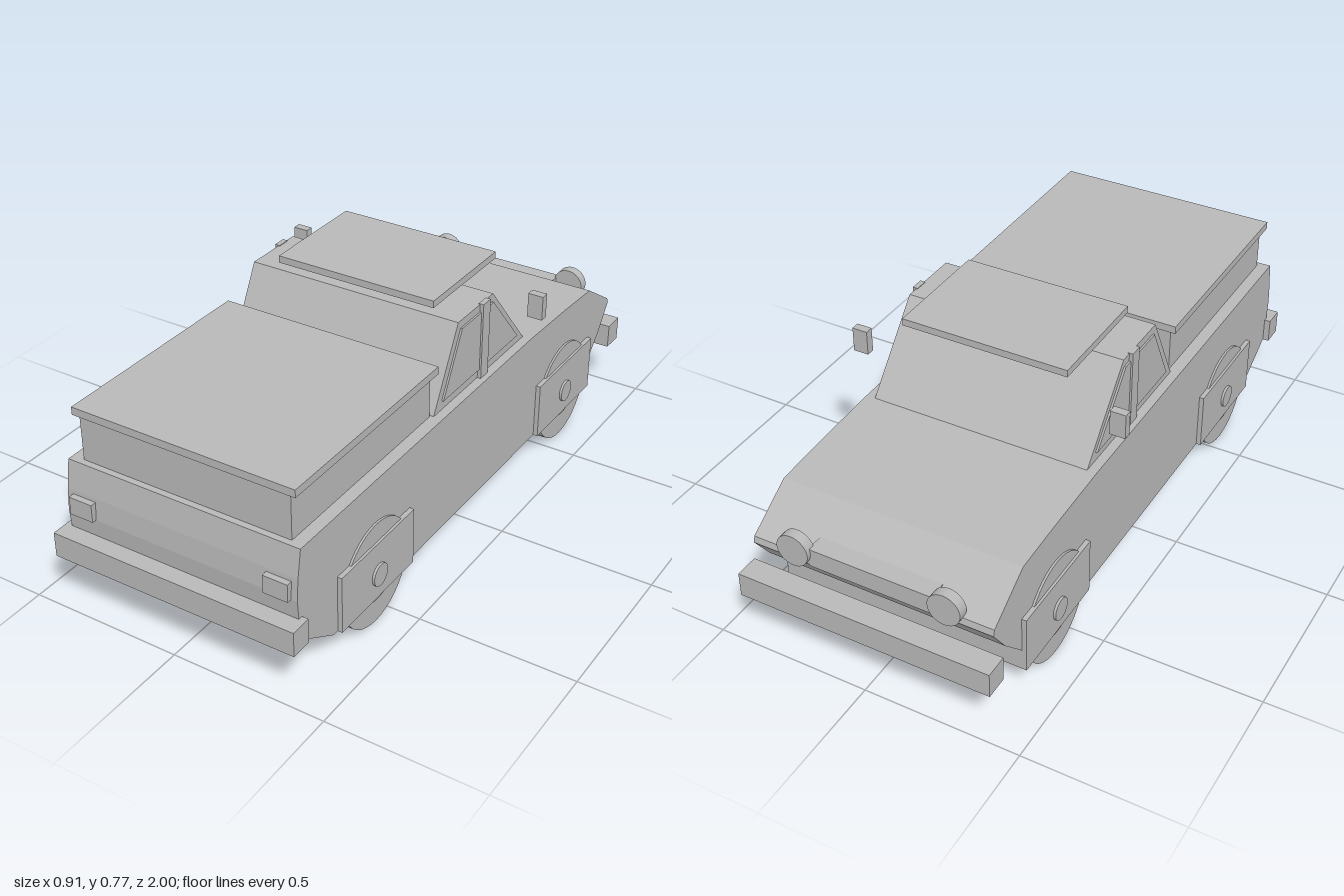
import * as THREE from 'three';

const paint = new THREE.MeshStandardMaterial({ color: 0xb8b8b8 });
paint.name = 'plain grey';

export function createModel() {
  const model = new THREE.Group();
  model.name = 'pickupTruck';

  const add = (name, geometry, x = 0, y = 0, z = 0) => {
    const mesh = new THREE.Mesh(geometry, paint);
    mesh.name = name;
    mesh.position.set(x, y, z);
    model.add(mesh);
    return mesh;
  };

  // Box given by its limits on each axis
  const box = (name, x0, x1, y0, y1, z0, z1) =>
    add(name, new THREE.BoxGeometry(x1 - x0, y1 - y0, z1 - z0),
      (x0 + x1) / 2, (y0 + y1) / 2, (z0 + z1) / 2);

  // Side profile of [z, y] points, extruded across x
  const profile = (name, points, x0, x1) => {
    const shape = new THREE.Shape(points.map(([z, y]) => new THREE.Vector2(-z, y)));
    const geometry = new THREE.ExtrudeGeometry(shape, { depth: x1 - x0, bevelEnabled: false });
    geometry.rotateY(Math.PI / 2);
    return add(name, geometry, x0);
  };

  // Cylinder lying along x, reaching from x0 to x1
  const disc = (name, radius, x0, x1, y, z) => {
    const geometry = new THREE.CylinderGeometry(radius, radius, x1 - x0, 40);
    geometry.rotateZ(Math.PI / 2);
    return add(name, geometry, (x0 + x1) / 2, y, z);
  };

  // Hull with the bonnet towards -z
  profile('body', [
    [0.78, 0.09], [0.93, 0.18], [0.945, 0.26], [0.95, 0.32], [0.945, 0.39], [0.93, 0.48],
    [-0.355, 0.48], [-0.6, 0.471], [-0.78, 0.46], [-0.935, 0.36], [-0.94, 0.34],
    [-0.88, 0.255], [-0.79, 0.16], [-0.79, 0.09],
  ], -0.39, 0.39);

  // Cab and floating roof plate
  profile('cab', [[0.2, 0.48], [0.07, 0.73], [-0.14, 0.73], [-0.355, 0.48]], -0.36, 0.36);
  box('roofPlate', -0.272, 0.272, 0.748, 0.771, -0.315, 0.062);

  // Covered bed
  box('bedBox', -0.35, 0.35, 0.48, 0.625, 0.208, 0.91);
  box('bedLid', -0.37, 0.37, 0.625, 0.65, 0.197, 0.918);

  // Bumpers and grille
  box('frontBumper', -0.41, 0.41, 0.18, 0.26, -1, -0.925);
  box('rearBumper', -0.41, 0.41, 0.18, 0.26, 0.93, 1);
  box('grille', -0.2, 0.2, 0.335, 0.395, -0.94, -0.86);

  for (const side of [-1, 1]) {
    const span = (a, b) => (side > 0 ? [a, b] : [-b, -a]);

    // Side windows and the pillar between them
    profile('rearSideWindow', [[0.155, 0.51], [0.055, 0.705], [-0.06, 0.705], [-0.06, 0.51]],
      ...span(0.358, 0.366));
    profile('frontSideWindow', [[-0.1, 0.51], [-0.1, 0.705], [-0.135, 0.705], [-0.305, 0.51]],
      ...span(0.358, 0.366));
    box('pillar', ...span(0.355, 0.372), 0.48, 0.732, -0.103, -0.06);

    box('mirror', ...span(0.405, 0.455), 0.598, 0.678, -0.312, -0.285);
    box('tailLight', ...span(0.29, 0.37), 0.32, 0.378, 0.92, 0.965);

    const lamp = new THREE.CylinderGeometry(0.052, 0.052, 0.034, 32);
    lamp.rotateX(Math.PI / 2);
    add('headlight', lamp, side * 0.245, 0.38, -0.937);

    // Wheels with rims, hubs and flat arch panels
    for (const [z, z0, z1] of [[0.57, 0.38, 0.76], [-0.6, -0.79, -0.413]]) {
      disc('tyre', 0.17, ...span(0.275, 0.397), 0.17, z);
      disc('rim', 0.09, ...span(0.3, 0.402), 0.17, z);
      disc('hub', 0.036, ...span(0.39, 0.413), 0.17, z);
      box('archPanel', ...span(0.385, 0.405), 0.09, 0.278, z0, z1);
    }
  }

  return model;
}
